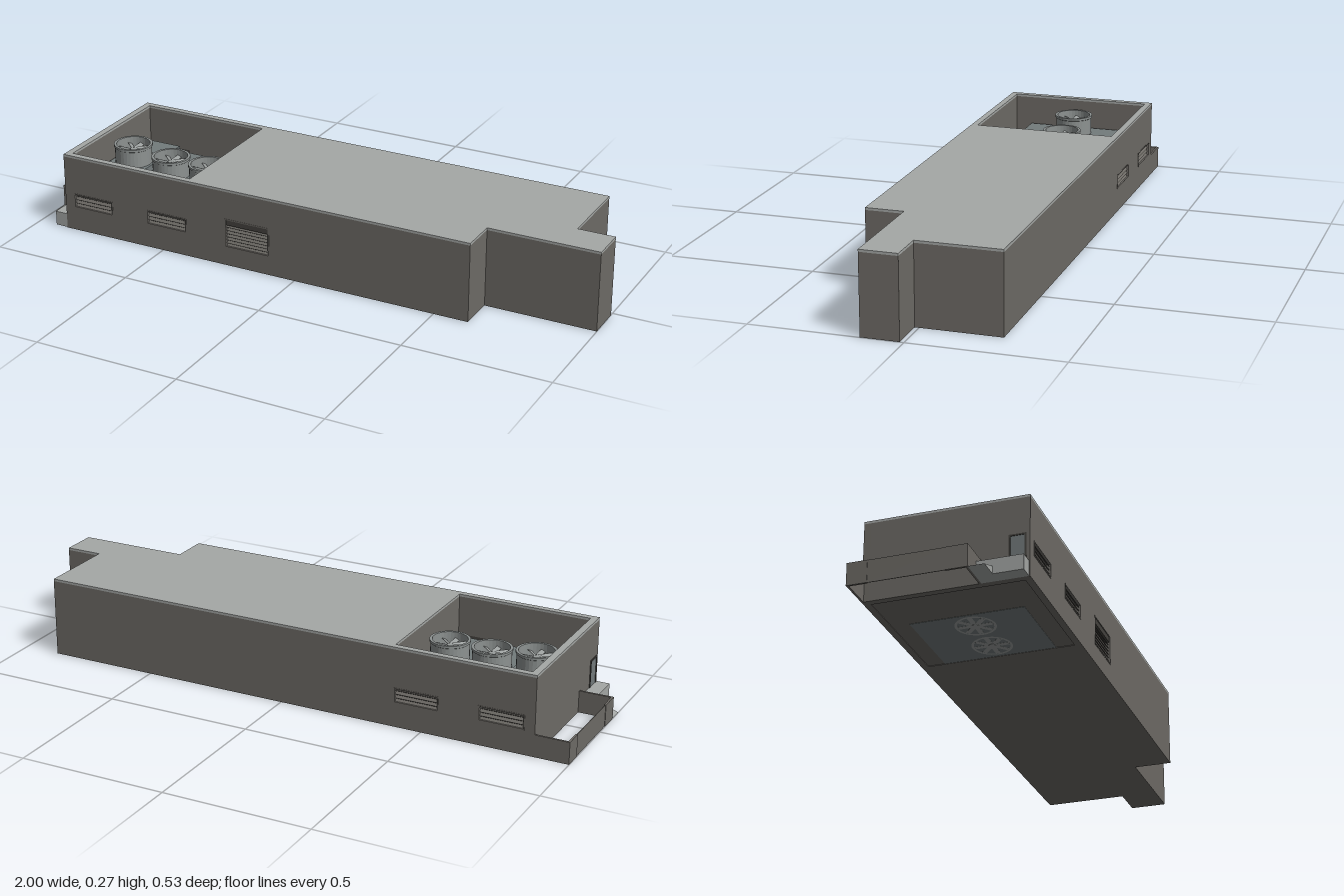
import * as THREE from 'three';

const mat = (color, side = THREE.FrontSide) => new THREE.MeshStandardMaterial({ color, side });
const wallMat = mat(0x6e6b66, THREE.DoubleSide);
const roofMat = mat(0xa5a8a6);
const unitMat = mat(0x737b7c);
const fanMat = mat(0x9a9e9d, THREE.DoubleSide);
const darkMat = mat(0x45433f);

export function createModel() {
  const model = new THREE.Group();

  const add = (name, geo, material, parent = model) => {
    const mesh = new THREE.Mesh(geo, material);
    mesh.name = name;
    parent.add(mesh);
    return mesh;
  };
  // Box given by its limits
  const box = (name, x0, x1, y0, y1, z0, z1, material, parent) => {
    const geo = new THREE.BoxGeometry(x1 - x0, y1 - y0, z1 - z0);
    geo.translate((x0 + x1) / 2, (y0 + y1) / 2, (z0 + z1) / 2);
    return add(name, geo, material, parent);
  };
  // Floor plan of [x, z] corners raised from y0 to y1
  const plan = (pts) => pts.map(([x, z]) => new THREE.Vector2(x, -z));
  const raise = (pts, y0, y1, hole) => {
    const shape = new THREE.Shape(plan(pts));
    if (hole) shape.holes.push(new THREE.Path(plan(hole)));
    const geo = new THREE.ExtrudeGeometry(shape, { depth: y1 - y0, bevelEnabled: false });
    return geo.rotateX(-Math.PI / 2).translate(0, y0, 0);
  };
  const rect = (x0, x1, z0, z1) => [[x0, z0], [x1, z0], [x1, z1], [x0, z1]];

  const W = -0.885, Z = 0.266, IN = 0.244, EAVE = 0.265, TOP = 0.273;
  const pit = { x0: -0.862, x1: -0.4 };

  // Main block with the stepped east end
  add('mainBlock', raise([[pit.x1, IN], [0.62, IN], [0.62, 0.138], [1, 0.138], [1, 0.013],
    [0.873, 0.013], [0.873, -IN], [pit.x1, -IN]], 0, EAVE), wallMat);
  box('westWall', W, pit.x0, 0, EAVE, -IN, IN, wallMat);
  box('pitFloor', pit.x0, pit.x1, 0.002, 0.012, -IN, IN, wallMat);

  // Roof slab with the opening over the plant pit
  add('roof', raise([[W, Z], [0.62, Z], [0.62, 0.138], [1, 0.138], [1, 0.013],
    [0.873, 0.013], [0.873, -Z], [W, -Z]], EAVE, TOP, rect(pit.x0, pit.x1, -IN, IN)), roofMat);

  // Long walls pierced by louvred openings: [x0, x1, y0, y1, slat count]
  const vents = [[-0.85, -0.695, 0.083, 0.135, 4], [-0.56, -0.405, 0.083, 0.135, 4]];
  const shutter = [-0.257, -0.092, 0.065, 0.168, 9];
  const longWall = (name, x1, openings, sign) => {
    const wall = new THREE.Group();
    wall.name = name;
    model.add(wall);
    const outline = ([a, b, c, d]) => [[a, c], [b, c], [b, d], [a, d]].map((p) => new THREE.Vector2(...p));
    const shape = new THREE.Shape(outline([W, x1, 0, EAVE]));
    openings.forEach((o) => shape.holes.push(new THREE.Path(outline(o))));
    const geo = new THREE.ExtrudeGeometry(shape, { depth: Z - IN, bevelEnabled: false });
    geo.translate(0, 0, sign > 0 ? IN : -Z);
    add(name + 'Panel', geo, wallMat, wall);
    for (const [a, b, c, d, count] of openings) {
      const w = b - a, cx = (a + b) / 2, step = (d - c) / count;
      add('louvreBack', new THREE.BoxGeometry(w, d - c, 0.003), darkMat, wall)
        .position.set(cx, (c + d) / 2, sign * (IN + 0.002));
      for (let i = 0; i < count; i++) {
        const slat = add('louvreSlat', new THREE.BoxGeometry(w, step * 0.85, 0.002), wallMat, wall);
        slat.position.set(cx, c + step * (i + 0.5), sign * (Z - 0.008));
        slat.rotation.x = -sign * 0.7;
      }
      // Thin surround
      const t = 0.004, z0 = sign > 0 ? IN : -Z - 0.001, z1 = sign > 0 ? Z + 0.001 : -IN;
      box('louvreFrame', a, a + t, c, d, z0, z1, wallMat, wall);
      box('louvreFrame', b - t, b, c, d, z0, z1, wallMat, wall);
      box('louvreFrame', a, b, c, c + t, z0, z1, wallMat, wall);
      box('louvreFrame', a, b, d - t, d, z0, z1, wallMat, wall);
    }
    return wall;
  };
  const front = longWall('frontWall', 0.62, [...vents, shutter], 1);
  box('shutterHousing', -0.257, -0.092, 0.145, 0.168, IN, Z - 0.002, darkMat, front);
  longWall('backWall', 0.873, vents, -1);

  // Cooling units standing in the pit
  box('smallCoolingUnit', -0.852, -0.705, 0.012, 0.168, -0.187, 0.184, unitMat);
  box('largeCoolingUnit', -0.7, pit.x1, 0.001, 0.15, -0.187, 0.184, unitMat);

  // Hub and pitched blades
  const rotor = (name, x, y, pitch) => {
    const fan = new THREE.Group();
    fan.name = name;
    const hub = new THREE.CylinderGeometry(0.012, 0.012, 0.004, 16);
    add('fanHub', hub, fanMat, fan);
    for (let i = 0; i < 8; i++) {
      const blade = new THREE.BoxGeometry(0.046, 0.0015, 0.016);
      blade.rotateX(pitch).translate(0.033, 0, 0).rotateY((i * Math.PI) / 4);
      add('fanBlade', blade, fanMat, fan);
    }
    fan.position.set(x, y, 0);
    model.add(fan);
  };
  const drumProfile = [[0.064, 0], [0.064, 0.058], [0.067, 0.06], [0.067, 0.068],
    [0.058, 0.068], [0.058, 0.002]].map((p) => new THREE.Vector2(...p));
  for (const [x, y] of [[-0.777, 0.168], [-0.625, 0.15], [-0.478, 0.15]]) {
    const drumMat = mat(0x8d9291, THREE.DoubleSide);
    drumMat.flatShading = true;
    add('fanDrum', new THREE.LatheGeometry(drumProfile, 32), drumMat).position.set(x, y, 0);
    rotor('fanRotor', x, y + 0.045, 0.45);
    if (x > -0.7) {
      // Intake on the underside
      rotor('intakeRotor', x, 0.0015, 0);
      const ring = add('intakeRing', new THREE.RingGeometry(0.057, 0.065, 32), fanMat);
      ring.rotation.x = Math.PI / 2;
      ring.position.set(x, 0.0004, 0);
    }
  }

  // Low yard wall at the west end, with a thin gate in the middle
  const H = 0.075, t = 0.007;
  box('yardBackWall', -1, W, 0, H, -Z, -Z + t, wallMat);
  box('yardFrontWall', -1, W, 0, H, 0.108, 0.115, wallMat);
  box('yardWestWall', -1, -1 + t, 0, H, -Z, -0.2, wallMat);
  box('yardWestWall', -1, -1 + t, 0, H, 0.045, 0.115, wallMat);
  box('yardGate', -0.9985, -0.9965, 0, H, -0.2, 0.045, wallMat);

  // Landing, ramp and door
  box('landing', -0.932, W, 0, 0.05, 0.115, 0.263, roofMat);
  const wedge = new THREE.Shape([[-1, 0], [-0.932, 0], [-0.932, 0.025]].map((p) => new THREE.Vector2(...p)));
  add('ramp', new THREE.ExtrudeGeometry(wedge, { depth: 0.052, bevelEnabled: false }), roofMat)
    .position.z = 0.115;
  box('doorLeaf', W - 0.001, W, 0.05, 0.14, 0.205, 0.25, unitMat);
  for (const z of [0.2, 0.25]) box('doorJamb', W - 0.003, W, 0.05, 0.145, z, z + 0.005, darkMat);
  box('doorHead', W - 0.003, W, 0.14, 0.145, 0.2, 0.255, darkMat);

  return model;
}
